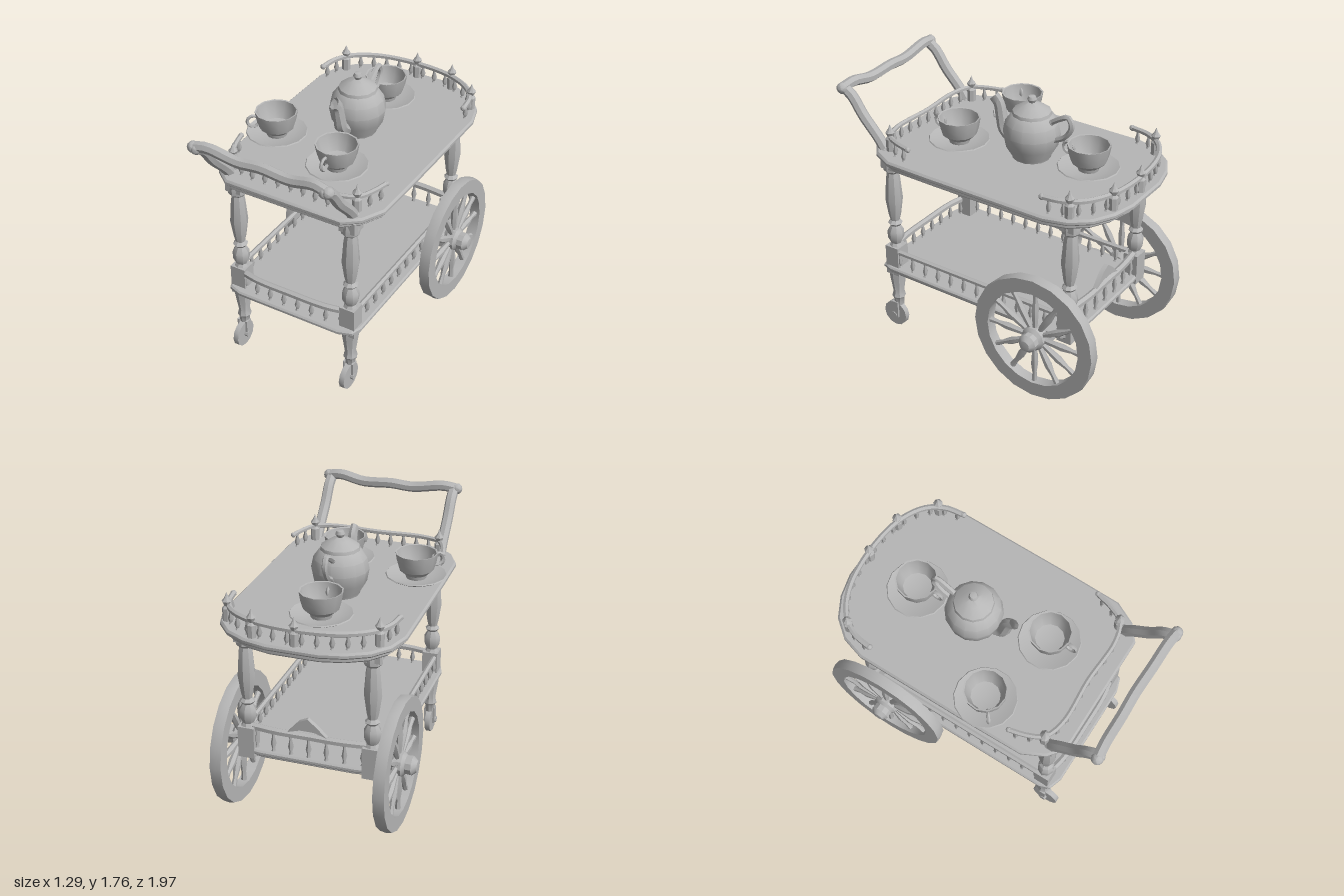
import * as THREE from 'three';
import { toCreasedNormals } from 'three/addons/utils/BufferGeometryUtils.js';

const V = (x, y, z) => new THREE.Vector3(x, y, z);

export function createModel() {
  const cart = new THREE.Group();
  cart.name = 'teaCart';
  const grey = new THREE.MeshStandardMaterial({ color: 0xb6b6b6 });
  grey.name = 'plain grey';
  const greyThin = new THREE.MeshStandardMaterial({ color: 0xb6b6b6, side: THREE.DoubleSide });
  greyThin.name = 'plain grey thin';

  function add(name, geo, x = 0, y = 0, z = 0, parent = cart, mat = grey) {
    const m = new THREE.Mesh(toCreasedNormals(geo, 0.55), mat);
    m.name = name;
    m.position.set(x, y, z);
    parent.add(m);
    return m;
  }
  const lathe = (pts, seg = 8) => new THREE.LatheGeometry(pts.map(p => new THREE.Vector2(p[0], p[1])), seg);
  const tube = (pts, r, n = 24, sides = 6) =>
    new THREE.TubeGeometry(new THREE.CatmullRomCurve3(pts, false, 'centripetal'), n, r, sides);
  // Tube with closed ends
  function rod(name, pts, r, n, sides, parent = cart) {
    add(name, tube(pts, r, n, sides), 0, 0, 0, parent);
    for (const p of [pts[0], pts[pts.length - 1]])
      add(name + 'End', new THREE.IcosahedronGeometry(r * 1.08, 1), p.x, p.y, p.z, parent);
  }
  // Mirrors a half outline given as [x, z] and extrudes it upwards
  function slab(name, half, y, h, bevel) {
    const pts = [...half, ...half.slice().reverse().map(([x, z]) => [-x, z])];
    const shape = new THREE.Shape(pts.map(([x, z]) => new THREE.Vector2(x, -z)));
    const geo = new THREE.ExtrudeGeometry(shape, {
      depth: h - 2 * bevel, bevelEnabled: true, bevelThickness: bevel, bevelSize: bevel, bevelOffset: -bevel, bevelSegments: 1 });
    geo.rotateX(-Math.PI / 2);
    return add(name, geo, 0, y + bevel, 0);
  }
  const mirrorPath = half => [...half, ...half.slice(0, -1).reverse().map(p => V(-p.x, p.y, p.z))];

  // Serving tray: wide rim and thinner moulding below
  const trayHalf = [[0.40, 0.74], [0.50, 0.66], [0.57, 0.52], [0.575, 0.2], [0.575, -0.62], [0.53, -0.77], [0.44, -0.88], [0.31, -0.95], [0.16, -0.985]];
  slab('trayTop', trayHalf, 1.325, 0.04, 0.012);
  slab('trayMoulding', trayHalf.map(([x, z]) => [x * 0.95, z * 0.965]), 1.285, 0.045, 0.012);

  // Lower shelf
  const shelfHalf = [[0.36, 0.72], [0.45, 0.69], [0.475, 0.62], [0.475, -0.7], [0.43, -0.75], [0.3, -0.765]];
  slab('lowerShelf', shelfHalf, 0.47, 0.035, 0.01);
  slab('lowerShelfMoulding', shelfHalf.map(([x, z]) => [x * 0.94, z * 0.96]), 0.44, 0.035, 0.01);

  // Gallery: rail on evenly spaced turned balusters
  function gallery(name, pts, base, count, r) {
    const g = new THREE.Group();
    g.name = name;
    cart.add(g);
    rod('rail', pts, r, 40, 6, g);
    const curve = new THREE.CatmullRomCurve3(pts, false, 'centripetal');
    for (let i = 0; i < count; i++) {
      const p = curve.getPointAt((i + 0.5) / count), h = p.y - base;
      add('baluster', lathe([[0.017, 0], [0.009, 0.15 * h], [0.018, 0.4 * h], [0.008, 0.75 * h], [0.014, h]], 6), p.x, base, p.z, g);
    }
  }
  const ry = 1.46;
  gallery('frontGallery', mirrorPath([V(0.51, ry, 0.40), V(0.48, ry, 0.51), V(0.43, ry, 0.60), V(0.3, ry, 0.645), V(0, ry, 0.635)]), 1.36, 15, 0.016);
  gallery('backGallery', mirrorPath([V(0.52, ry, -0.58), V(0.5, ry, -0.7), V(0.43, ry, -0.81), V(0.27, ry, -0.9), V(0, ry, -0.935)]), 1.36, 16, 0.018);
  const ly = 0.615;
  gallery('lowerFrontGallery', mirrorPath([V(0.4, ly, 0.64), V(0.25, ly, 0.67), V(0, ly, 0.675)]), 0.5, 8, 0.022);
  gallery('lowerBackGallery', mirrorPath([V(0.4, ly + 0.03, -0.71), V(0.2, ly + 0.03, -0.73), V(0, ly + 0.03, -0.73)]), 0.5, 7, 0.024);
  for (const s of [1, -1])
    gallery('lowerSideGallery', [V(s * 0.43, ly, 0.62), V(s * 0.43, ly, 0), V(s * 0.43, ly, -0.71)], 0.5, 13, 0.018);

  // Arched crest on the lower back rail
  const crest = new THREE.Shape([[-0.12, 0], [-0.06, 0.06], [0, 0.11], [0.06, 0.08], [0.13, 0], [0.05, 0.025], [-0.04, 0.025]].map(p => new THREE.Vector2(...p)));
  add('crest', new THREE.ExtrudeGeometry(crest, { depth: 0.03, bevelEnabled: false }), 0, 0.665, -0.745);

  // Finials along the galleries
  const finial = [[0.028, 0], [0.03, 0.09], [0.016, 0.105], [0.03, 0.135], [0.014, 0.155], [0, 0.19]];
  for (const [x, z] of [[0.43, 0.6], [-0.43, 0.6], [0.49, -0.75], [-0.46, -0.78], [0, -0.935], [0.27, -0.91]])
    add('finial', lathe(finial, 7), x, 1.355, z);

  // Turned legs
  const post = [[0.05, 1.29], [0.06, 1.25], [0.058, 1.21], [0.038, 1.19], [0.045, 1.15], [0.057, 1.0], [0.04, 0.88], [0.03, 0.84],
    [0.048, 0.82], [0.032, 0.8], [0.054, 0.76], [0.054, 0.71], [0.035, 0.67], [0.05, 0.64]].reverse();
  const foot = [[0, 0.18], [0.03, 0.18], [0.035, 0.23], [0.046, 0.25], [0.036, 0.29], [0.055, 0.42], [0.055, 0.45]];
  for (const s of [1, -1]) {
    for (const z of [0.62, -0.71]) {
      const leg = new THREE.Group();
      leg.name = z > 0 ? 'frontLeg' : 'backLeg';
      leg.position.set(s * 0.4, 0, z);
      cart.add(leg);
      add('turnedPost', lathe(post), 0, 0, 0, leg);
      add('squareBlock', new THREE.BoxGeometry(0.105, 0.21, 0.1), 0, 0.545, 0, leg);
      add('topBlock', new THREE.BoxGeometry(0.11, 0.08, 0.1), 0, 1.27, 0, leg);
      if (z < 0) continue;
      add('turnedFoot', lathe(foot), 0, 0, 0, leg);
      // Caster: wheel, axle and fork
      const wheel = new THREE.CylinderGeometry(0.09, 0.09, 0.036, 12).rotateZ(Math.PI / 2);
      add('casterWheel', wheel, 0, 0.1, 0.025, leg);
      add('casterAxle', new THREE.CylinderGeometry(0.022, 0.022, 0.085, 8).rotateZ(Math.PI / 2), 0, 0.1, 0.02, leg);
      for (const t of [1, -1])
        add('casterFork', new THREE.BoxGeometry(0.014, 0.12, 0.045), t * 0.03, 0.145, 0.01, leg);
    }

    // Push handle arm
    rod('handleArm', [V(s * 0.43, 1.35, 0.64), V(s * 0.43, 1.42, 0.69), V(s * 0.43, 1.55, 0.81), V(s * 0.43, 1.66, 0.89), V(s * 0.43, 1.70, 0.95)], 0.036, 14, 7);

    // Large spoked wheel
    const w = new THREE.Group();
    w.name = 'spokedWheel';
    w.position.set(s * 0.518, 0.455, -0.545);
    cart.add(w);
    const rim = lathe([[0.33, -0.036], [0.425, -0.036], [0.43, 0], [0.425, 0.036], [0.33, 0.036], [0.33, -0.036]], 20).rotateZ(Math.PI / 2);
    add('rim', rim, 0, 0, 0, w);
    for (let i = 0; i < 12; i++) {
      const spoke = lathe([[0.015, 0.05], [0.02, 0.12], [0.025, 0.2], [0.015, 0.27], [0.02, 0.34]], 6);
      add('spoke', spoke, 0, 0, 0, w).rotation.x = i * Math.PI / 6;
    }
    const hub = lathe([[0, -0.05], [0.06, -0.05], [0.08, -0.02], [0.08, 0.03], [0.06, 0.05], [0.062, 0.09], [0.035, 0.12], [0, 0.125]], 10);
    add('hub', hub.rotateZ(-s * Math.PI / 2), 0, 0, 0, w);
  }
  add('axleBeam', new THREE.BoxGeometry(0.98, 0.06, 0.13), 0, 0.425, -0.55);
  rod('handleBar', [V(-0.45, 1.705, 0.95), V(-0.36, 1.72, 0.94), V(-0.15, 1.69, 0.935), V(0, 1.70, 0.93), V(0.2, 1.69, 0.935), V(0.36, 1.72, 0.94), V(0.45, 1.705, 0.95)], 0.035, 24, 7);

  // Teapot
  const pot = new THREE.Group();
  pot.name = 'teapot';
  pot.position.set(-0.01, 1.36, -0.16);
  cart.add(pot);
  add('potBody', lathe([[0, 0], [0.12, 0], [0.125, 0.02], [0.165, 0.09], [0.18, 0.17], [0.165, 0.24], [0.13, 0.29], [0.115, 0.3]], 14), 0, 0, 0, pot);
  add('potLid', lathe([[0.125, 0.295], [0.12, 0.315], [0.06, 0.355], [0.02, 0.37], [0.03, 0.39], [0.022, 0.41], [0, 0.415]], 12), 0, 0, 0, pot);
  // Spout tapers along its height
  const spout = tube([V(0, 0.09, 0.14), V(0, 0.13, 0.2), V(0, 0.22, 0.225), V(0, 0.3, 0.245), V(0, 0.335, 0.28)], 0.04, 12, 8);
  const sp = spout.attributes.position;
  for (let i = 0; i < sp.count; i++) sp.setX(i, sp.getX(i) * (1.3 - 2 * sp.getY(i)));
  add('potSpout', spout, 0, 0, 0, pot, greyThin);
  rod('potHandle', [V(0, 0.27, -0.14), V(0, 0.31, -0.2), V(0, 0.335, -0.26), V(0, 0.28, -0.285), V(0, 0.2, -0.24), V(0, 0.16, -0.17)], 0.018, 16, 6, pot);

  // Cups on saucers: position and the direction of the ear
  for (const [x, z, turn] of [[-0.03, -0.56, 0], [-0.4, 0.17, -0.9], [0.115, 0.3, 0]]) {
    const set = new THREE.Group();
    set.name = 'cupAndSaucer';
    set.position.set(x, 1.362, z);
    set.rotation.y = turn;
    cart.add(set);
    add('saucer', lathe([[0, 0], [0.1, 0], [0.15, 0.018], [0.195, 0.042], [0.19, 0.048], [0.11, 0.022], [0, 0.02]], 14), 0, 0, 0, set);
    add('cup', lathe([[0, 0.022], [0.065, 0.022], [0.07, 0.045], [0.11, 0.08], [0.125, 0.13], [0.135, 0.19], [0.125, 0.188], [0.112, 0.13], [0.09, 0.08], [0, 0.06]], 12), 0, 0, 0, set);
    add('cupEar', new THREE.TorusGeometry(0.038, 0.011, 5, 10).rotateY(Math.PI / 2), 0, 0.125, 0.145, set);
  }
  return cart;
}
